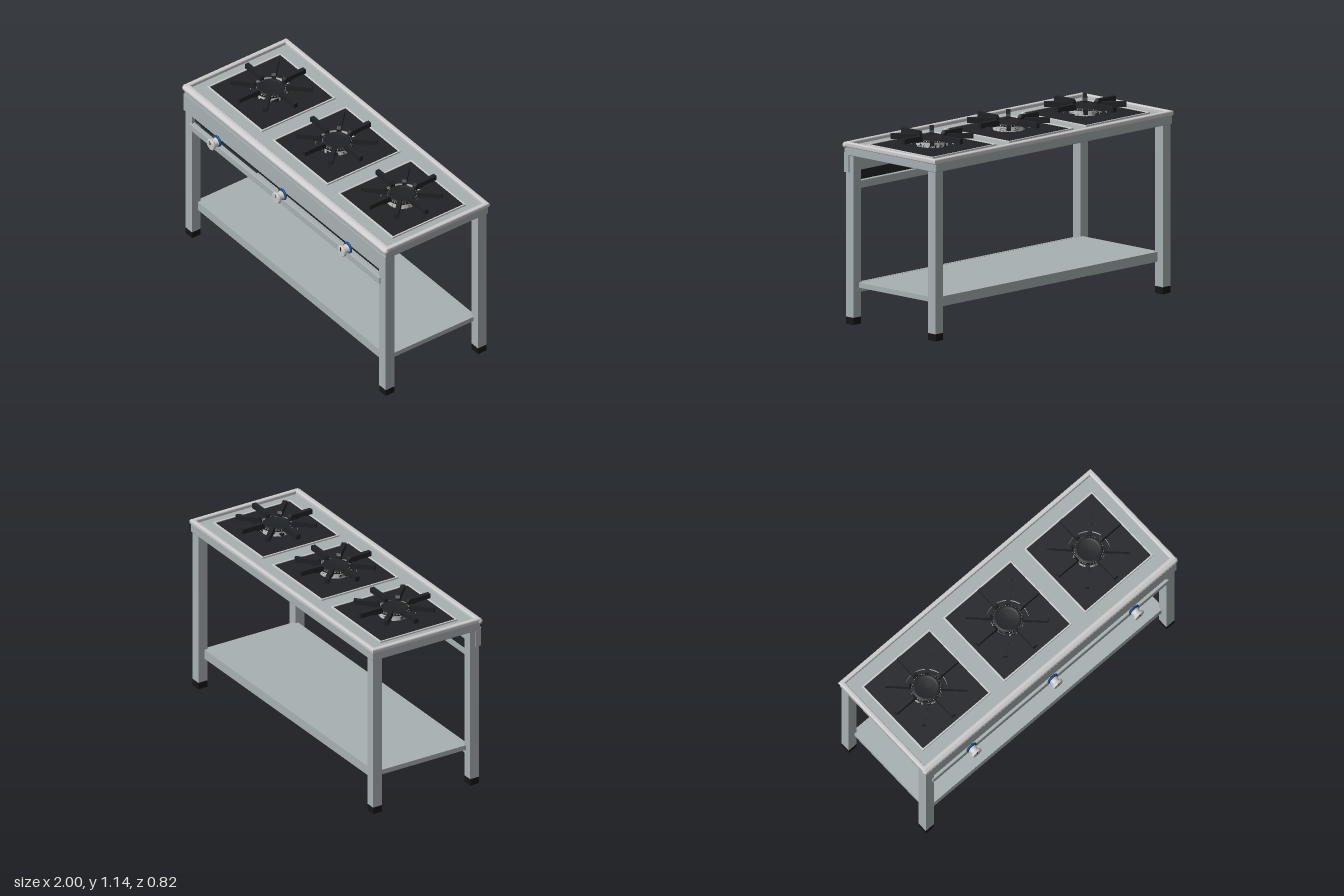
import * as THREE from 'three';
import { RoundedBoxGeometry } from 'three/addons/geometries/RoundedBoxGeometry.js';

const mat = (color) => new THREE.MeshStandardMaterial({ color });

export function createModel() {
  const steel = mat(0xa8b0b3), light = mat(0xcccccc), dark = mat(0x202326);
  const rubber = mat(0x141517), blue = mat(0x1f4a85);
  const model = new THREE.Group();

  const add = (parent, name, geometry, material, x = 0, y = 0, z = 0) => {
    const mesh = new THREE.Mesh(geometry, material);
    mesh.name = name;
    mesh.position.set(x, y, z);
    parent.add(mesh);
    return mesh;
  };
  // Box given by its limits on each axis
  const box = (parent, name, material, [x0, x1], [y0, y1], [z0, z1], r = 0) => {
    const s = [x1 - x0, y1 - y0, z1 - z0];
    const g = r ? new RoundedBoxGeometry(...s, 2, r) : new THREE.BoxGeometry(...s);
    return add(parent, name, g, material, (x0 + x1) / 2, (y0 + y1) / 2, (z0 + z1) / 2);
  };
  // Flat rectangular frame lying in the xz plane, with a softened edge
  const frame = (outer, inner, height, bevel) => {
    const rect = (T, [x0, x1, z0, z1]) => {
      const p = new T();
      p.moveTo(x0, -z1).lineTo(x1, -z1).lineTo(x1, -z0).lineTo(x0, -z0).closePath();
      return p;
    };
    const b = bevel;
    const shape = rect(THREE.Shape, [outer[0] + b, outer[1] - b, outer[2] + b, outer[3] - b]);
    shape.holes.push(rect(THREE.Path, [inner[0] - b, inner[1] + b, inner[2] - b, inner[3] + b]));
    const g = new THREE.ExtrudeGeometry(shape, {
      depth: height - 2 * b, bevelEnabled: true, bevelSize: b, bevelThickness: b, bevelSegments: 3,
    });
    return g.rotateX(-Math.PI / 2).translate(0, b, 0);
  };
  const lathe = (pts, n = 40) =>
    new THREE.LatheGeometry(pts.map(([r, y]) => new THREE.Vector2(r, y)), n);

  // Square legs on rubber feet
  for (const side of [-1, 1]) {
    for (const z of [0.304, -0.37]) {
      const leg = new THREE.Group();
      leg.name = z > 0 ? 'frontLeg' : 'backLeg';
      leg.position.set(side * 0.948, 0, z);
      box(leg, 'post', steel, [-0.0315, 0.0315], [0.04, 1.015], [-0.0315, 0.0315]);
      box(leg, 'foot', rubber, [-0.0325, 0.0325], [0, 0.045], [-0.0325, 0.0325], 0.004);
      model.add(leg);
    }
  }

  // Lower shelf with folded front and back edges
  box(model, 'shelf', steel, [-0.935, 0.935], [0.218, 0.248], [-0.355, 0.29]);
  box(model, 'shelfFrontEdge', steel, [-0.935, 0.935], [0.19, 0.249], [0.276, 0.292]);
  box(model, 'shelfBackEdge', steel, [-0.935, 0.935], [0.19, 0.249], [-0.358, -0.342]);

  // Worktop body, raised rim and front roll
  box(model, 'worktop', steel, [-0.987, 0.987], [1.01, 1.068], [-0.41, 0.325], 0.006);
  add(model, 'worktopRim',
    frame([-0.995, 0.995, -0.413, 0.34], [-0.966, 0.966, -0.385, 0.31], 0.03, 0.008), light, 0, 1.06);
  const roll = add(model, 'frontRoll', new THREE.CapsuleGeometry(0.018, 1.964, 6, 20), light, 0, 1.069, 0.336);
  roll.rotation.z = Math.PI / 2;

  // Front panel, control strip and rail
  box(model, 'frontPanel', steel, [-0.987, 0.987], [0.908, 1.065], [0.305, 0.338]);
  box(model, 'frontPanelFace', steel, [-0.987, 0.987], [0.908, 1.027], [0.33, 0.344]);
  box(model, 'controlStrip', dark, [-0.92, 0.92], [0.856, 0.912], [0.3, 0.315]);
  box(model, 'frontRail', steel, [-0.93, 0.93], [0.797, 0.845], [0.315, 0.345], 0.004);

  // Burner: framed pan, ring, cap and eight radial grate bars
  const makeBurner = () => {
    const burner = new THREE.Group();
    burner.name = 'burner';
    box(burner, 'pan', dark, [-0.262, 0.262], [1.065, 1.073], [-0.262, 0.262]);
    add(burner, 'panFrame',
      frame([-0.268, 0.268, -0.268, 0.268], [-0.258, 0.258, -0.258, 0.258], 0.012, 0.002), light, 0, 1.066);
    add(burner, 'burnerRing', lathe([[0.094, 1.07], [0.094, 1.102], [0.097, 1.105],
      [0.097, 1.105], [0.106, 1.104], [0.123, 1.096], [0.126, 1.09], [0.126, 1.07]]), light);
    add(burner, 'burnerBase', new THREE.CylinderGeometry(0.094, 0.094, 0.025, 40), dark, 0, 1.083);
    add(burner, 'burnerCap', lathe([[0.084, 1.09], [0.084, 1.112], [0.084, 1.112], [0.078, 1.118],
      [0.066, 1.118], [0.06, 1.112], [0, 1.11]]), dark);
    // Flame ports around the cap
    const port = new THREE.BoxGeometry(0.006, 0.006, 0.005);
    for (let i = 0; i < 32; i++) {
      const a = (i / 32) * Math.PI * 2;
      const p = add(burner, 'flamePort', port, light, Math.cos(a) * 0.083, 1.108, Math.sin(a) * 0.083);
      p.rotation.y = -a;
    }
    // Bar side profile: deeper toward the middle
    const profile = new THREE.Shape();
    profile.moveTo(0.088, 1.105).lineTo(0.13, 1.105).lineTo(0.155, 1.112).lineTo(0.242, 1.112)
      .lineTo(0.242, 1.142).lineTo(0.1, 1.142).lineTo(0.088, 1.128).closePath();
    const bar = new THREE.ExtrudeGeometry(profile, { depth: 0.026, bevelEnabled: false });
    bar.translate(0, 0, -0.013);
    for (let i = 0; i < 8; i++) {
      add(burner, 'grateBar', bar, dark).rotation.y = (i * Math.PI) / 4;
    }
    return burner;
  };

  // Control knob: blue collar, slightly tilted grip and pointer
  const makeKnob = () => {
    const knob = new THREE.Group();
    knob.name = 'knob';
    const turn = (name, pts, material) => {
      const m = add(knob, name, lathe(pts, 28), material);
      m.rotation.x = Math.PI / 2;
      return m;
    };
    turn('shaft', [[0.012, -0.045], [0.012, 0.01]], light);
    turn('collar', [[0, 0], [0.032, 0], [0.037, 0.004], [0.037, 0.01], [0.032, 0.014], [0, 0.014]], blue);
    const grip = turn('grip', [[0.03, 0.01], [0.027, 0.018], [0.025, 0.024], [0.025, 0.04], [0.025, 0.04],
      [0.033, 0.042], [0.036, 0.045], [0.036, 0.054], [0.033, 0.059], [0.033, 0.059], [0, 0.059]], light);
    grip.position.y = -0.004;
    grip.rotation.x += 0.06;
    box(knob, 'pointer', rubber, [-0.003, 0.003], [-0.004, 0.024], [0.055, 0.061]);
    return knob;
  };

  for (const x of [-0.64, 0, 0.64]) {
    const burner = makeBurner();
    burner.position.set(x, 0, -0.037);
    const knob = makeKnob();
    knob.position.set(x, 0.898, 0.351);
    model.add(burner, knob);
  }
  return model;
}
